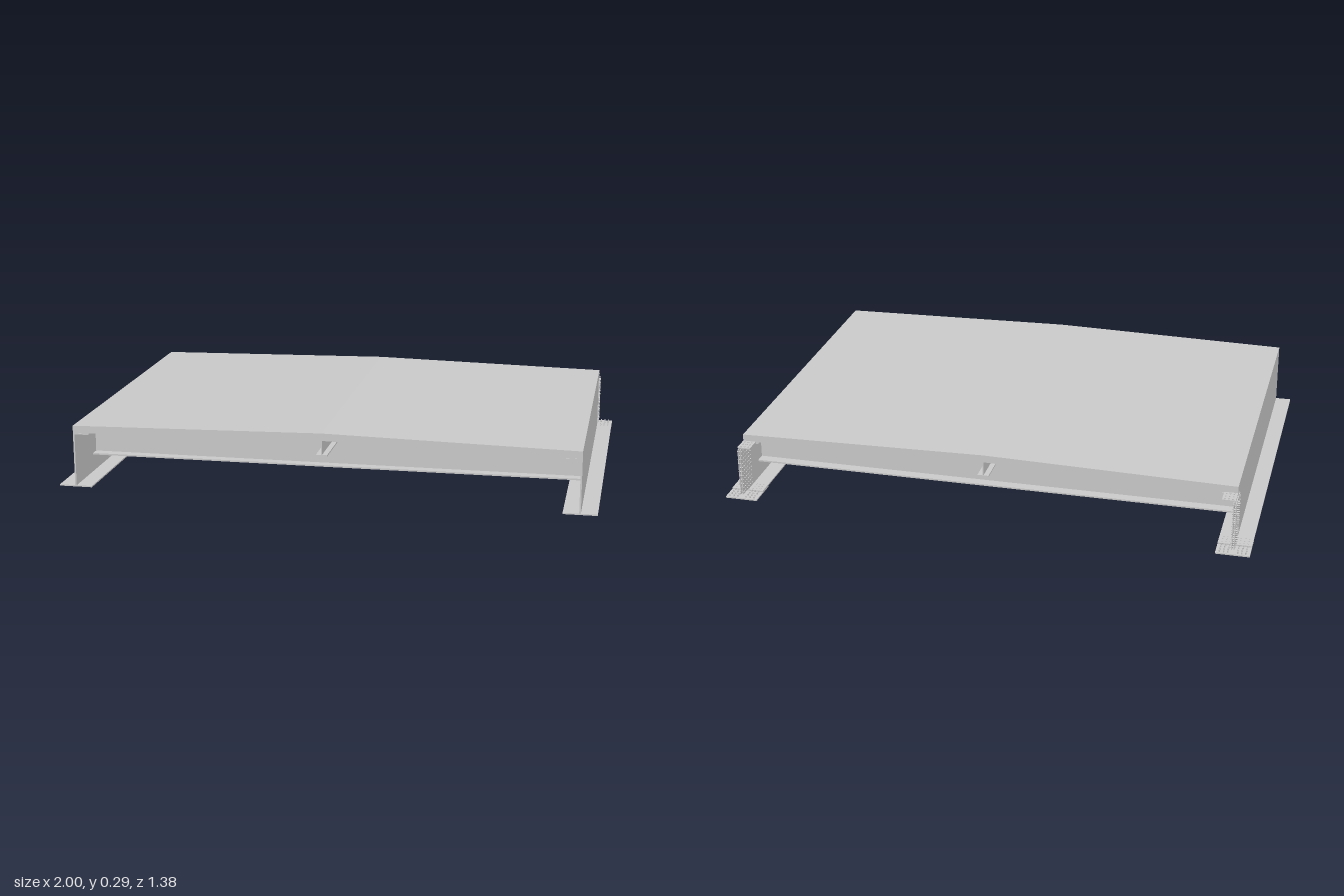
import * as THREE from 'three';
import { mergeGeometries } from 'three/addons/utils/BufferGeometryUtils.js';

const SLOPE = 0.0205;          // lengthwise fall of the span towards the back
const FRONT = 0.69, BACK = -0.625;
const WEB_X = 0.937;           // main girder web
const EDGE = 0.94;

const material = new THREE.MeshStandardMaterial({
  color: 0xcccccc, flatShading: true, side: THREE.DoubleSide,
});

// Shear a level geometry so that it follows the fall of the span
function inclined(geometry) {
  const p = geometry.attributes.position;
  for (let i = 0; i < p.count; i++) p.setY(i, p.getY(i) + SLOPE * p.getZ(i));
  geometry.computeVertexNormals();
  return geometry;
}

function addPart(parent, name, geometry) {
  const mesh = new THREE.Mesh(inclined(geometry), material);
  mesh.name = name;
  parent.add(mesh);
  return mesh;
}

// Box given by its limits on each axis
function block(x0, x1, y0, y1, z0, z1) {
  return new THREE.BoxGeometry(x1 - x0, y1 - y0, z1 - z0)
    .translate((x0 + x1) / 2, (y0 + y1) / 2, (z0 + z1) / 2);
}

// Cross-section in x and y, extruded from z0 to z1
function prism(points, z0, z1) {
  const shape = new THREE.Shape(points.map(([x, y]) => new THREE.Vector2(x, y)));
  return new THREE.ExtrudeGeometry(shape, { depth: z1 - z0, bevelEnabled: false })
    .translate(0, 0, z0);
}

// Plate with a crown at the middle of the deck
function crowned(halfWidth, edgeBottom, peakBottom, edgeTop, peakTop, z0, z1) {
  return prism([
    [-halfWidth, edgeBottom], [0, peakBottom], [halfWidth, edgeBottom],
    [halfWidth, edgeTop], [0, peakTop], [-halfWidth, edgeTop],
  ], z0, z1);
}

// Evenly spaced numbers
function spread(from, to, count) {
  return Array.from({ length: count }, (_, i) => from + (to - from) * i / (count - 1));
}

// Grid of bolts running through a plate along the x or y axis
function bolts(axis, from, to, us, zs) {
  const all = [];
  for (const u of us) for (const z of zs) {
    const bolt = new THREE.CylinderGeometry(0.003, 0.003, to - from, 6);
    const mid = (from + to) / 2;
    if (axis === 'x') bolt.rotateZ(Math.PI / 2).translate(mid, u, z);
    else bolt.translate(u, mid, z);
    all.push(bolt);
  }
  return mergeGeometries(all);
}

// One main girder with its bolted splice, at side s (+1 left, -1 right)
function mainGirder(s) {
  const girder = new THREE.Group();
  girder.name = s > 0 ? 'leftMainGirder' : 'rightMainGirder';
  const across = (a, b) => (s > 0 ? [a, b] : [-b, -a]);

  addPart(girder, 'girderWeb', block(...across(0.934, EDGE), 0.026, 0.23, BACK, FRONT));
  addPart(girder, 'bottomFlange', block(...across(0.875, 1), 0.022, 0.027, BACK, FRONT));
  addPart(girder, 'topFlange', block(...across(0.88, EDGE), 0.225, 0.23, BACK, FRONT));

  // Splice plates reaching past the back end
  addPart(girder, 'bottomSplicePlate', block(...across(0.875, 1), 0.017, 0.022, -0.69, -0.565));
  addPart(girder, 'topSplicePlate', block(...across(0.89, EDGE), 0.229, 0.233, -0.685, -0.625));
  addPart(girder, 'outerWebSplicePlate', block(...across(0.94, 0.943), 0.034, 0.219, -0.68, -0.585));
  addPart(girder, 'innerWebSplicePlate', block(...across(0.931, 0.934), 0.034, 0.219, -0.68, -0.585));

  const cols = spread(-0.592, -0.673, 6);
  addPart(girder, 'webBolts',
    bolts('x', ...across(0.928, 0.946), spread(0.043, 0.209, 11), cols));
  const flangeX = [0.89, 0.905, 0.92, 0.955, 0.97, 0.985].map(x => x * s);
  addPart(girder, 'bottomFlangeBolts',
    bolts('y', 0.0142, 0.029, flangeX, spread(-0.575, -0.68, 7)));
  addPart(girder, 'topFlangeBolts',
    bolts('y', 0.226, 0.236, [0.9, 0.914, 0.928].map(x => x * s), spread(-0.638, -0.677, 3)));
  return girder;
}

// Crossbeam: flat bottom flange, crowned web and top flange
function crossbeam(z) {
  const beam = new THREE.Group();
  beam.name = 'crossbeam';
  addPart(beam, 'crossbeamWeb', prism([
    [-WEB_X, 0.098], [WEB_X, 0.098], [WEB_X, 0.226], [0, 0.244], [-WEB_X, 0.226],
  ], z - 0.003, z + 0.003));
  addPart(beam, 'crossbeamBottomFlange',
    block(-WEB_X, WEB_X, 0.092, 0.098, z - 0.04, z + 0.04));
  addPart(beam, 'crossbeamTopFlange',
    crowned(WEB_X, 0.225, 0.243, 0.23, 0.248, z - 0.04, z + 0.04));
  return beam;
}

export function createModel() {
  const model = new THREE.Group();
  model.name = 'bridgeDeckSection';

  // Crowned deck slab
  addPart(model, 'deckSlab', crowned(EDGE, 0.23, 0.248, 0.258, 0.276, BACK, FRONT));

  // Girders along both sides
  for (const s of [1, -1]) model.add(mainGirder(s));

  // Crossbeams between the girders
  for (const z of [-0.47, -0.01, 0.45]) model.add(crossbeam(z));

  // Stringer under the crown
  const stringer = new THREE.Group();
  stringer.name = 'centreStringer';
  addPart(stringer, 'stringerWeb', block(-0.002, 0.002, 0.194, 0.248, BACK, FRONT));
  addPart(stringer, 'stringerBottomFlange', block(-0.021, 0.021, 0.19, 0.195, BACK, FRONT));
  model.add(stringer);

  return model;
}
